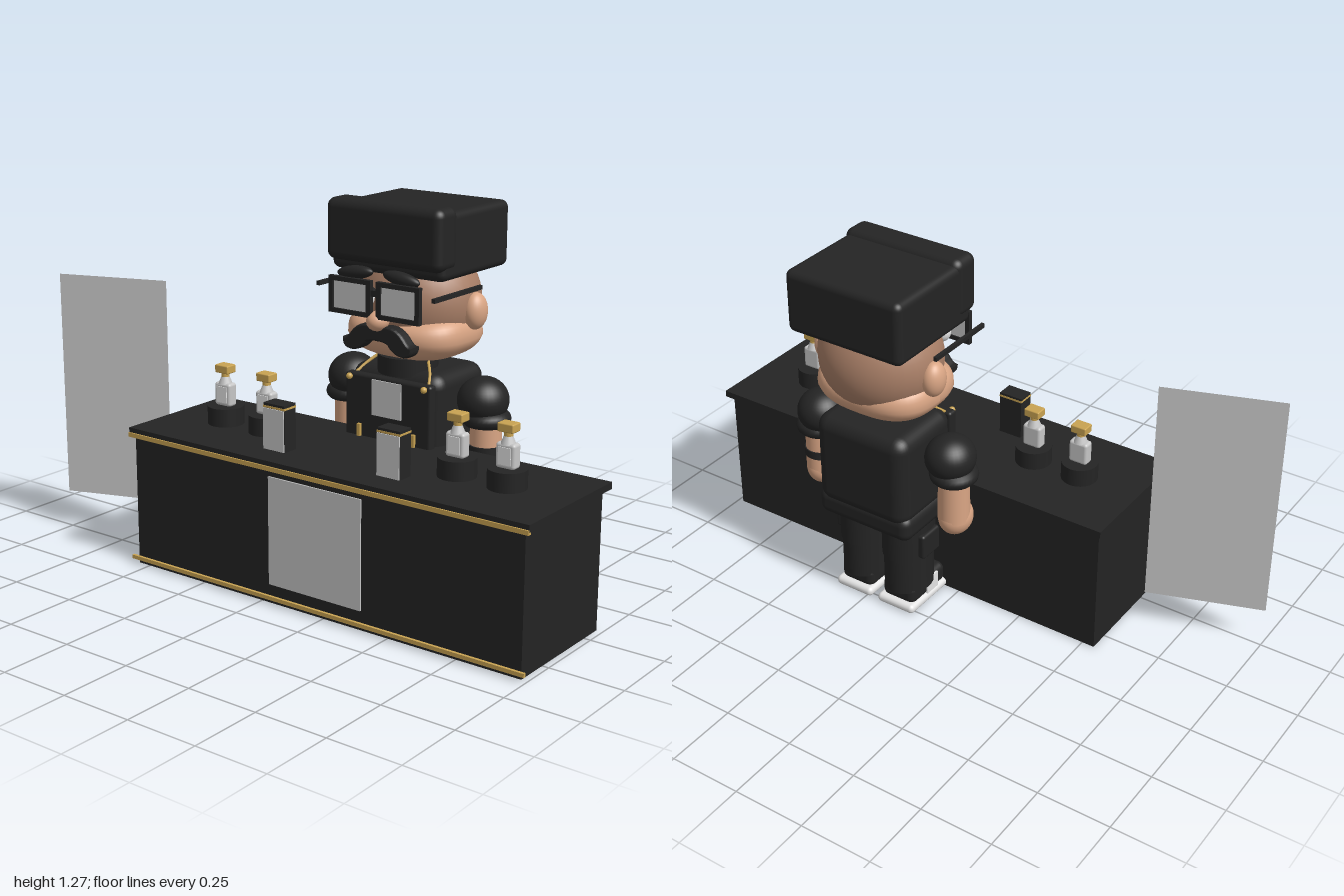
import * as THREE from 'three';
import { RoundedBoxGeometry } from 'three/addons/geometries/RoundedBoxGeometry.js';

const mat = (name, color, side = THREE.FrontSide) => {
  const m = new THREE.MeshStandardMaterial({ color, side });
  m.name = name;
  return m;
};

export function createModel() {
  const black = mat('black', 0x242424);
  const gold = mat('gold', 0xc9a352);
  const skin = mat('skin', 0xd9a584);
  const scalp = mat('shaded skin', 0xaa8068);
  const grey = mat('light grey', 0xc6c6c6, THREE.DoubleSide);
  const white = mat('white', 0xe4e4e4);

  const model = new THREE.Group();
  const add = (parent, name, geo, m, x = 0, y = 0, z = 0) => {
    const mesh = new THREE.Mesh(geo, m);
    mesh.name = name;
    mesh.position.set(x, y, z);
    parent.add(mesh);
    return mesh;
  };
  const group = (name, x = 0, y = 0, z = 0) => {
    const g = new THREE.Group();
    g.name = name;
    g.position.set(x, y, z);
    model.add(g);
    return g;
  };
  // Boxes given by their limits; r rounds the edges
  const box = (p, name, m, x0, x1, y0, y1, z0, z1, r = 0) => {
    const s = [x1 - x0, y1 - y0, z1 - z0];
    const geo = r ? new RoundedBoxGeometry(...s, 4, r) : new THREE.BoxGeometry(...s);
    return add(p, name, geo, m, (x0 + x1) / 2, (y0 + y1) / 2, (z0 + z1) / 2);
  };
  const ball = (p, name, m, x, y, z, rx, ry = rx, rz = rx) =>
    add(p, name, new THREE.SphereGeometry(1, 32, 24).scale(rx, ry, rz), m, x, y, z);
  const tube = (p, name, m, pts, r) =>
    add(p, name, new THREE.TubeGeometry(new THREE.CatmullRomCurve3(
      pts.map(v => new THREE.Vector3(...v))), 12, r, 8), m);

  // Angled standing panel
  const panel = add(model, 'panel', new THREE.PlaneGeometry(0.403, 0.8), grey, -0.81, 0.54, 0.193);
  panel.rotation.y = Math.atan2(0.135, 0.38);

  // Counter
  const counter = group('counter');
  box(counter, 'counterBody', black, -0.545, 0.98, 0.005, 0.465, -0.073, 0.373);
  box(counter, 'counterTop', black, -0.56, 1, 0.467, 0.49, -0.093, 0.388);
  box(counter, 'upperTrim', gold, -0.56, 1, 0.459, 0.474, 0.38, 0.393);
  box(counter, 'lowerTrim', gold, -0.56, 1, 0.023, 0.036, 0.383, 0.393);
  box(counter, 'frontPlate', grey, 0.035, 0.4, 0.07, 0.435, 0.372, 0.378);

  // Bottles on round stands
  for (const x of [-0.34, -0.16, 0.595, 0.775]) {
    const b = group('bottle', x, 0, 0.145);
    add(b, 'stand', new THREE.CylinderGeometry(0.062, 0.062, 0.062, 32), black, 0, 0.521, 0);
    box(b, 'bottleBody', grey, -0.034, 0.034, 0.552, 0.632, -0.02, 0.02, 0.01);
    add(b, 'shoulder', new THREE.CylinderGeometry(0.014, 0.024, 0.025, 16), grey, 0, 0.64, 0);
    box(b, 'bottleLabel', white, -0.022, 0.022, 0.565, 0.62, 0.018, 0.023);
    add(b, 'collar', new THREE.CylinderGeometry(0.014, 0.014, 0.02, 16), gold, 0, 0.658, 0);
    box(b, 'stopper', gold, -0.028, 0.028, 0.666, 0.694, -0.022, 0.022, 0.004);
  }

  // Upright cases with a pale front
  for (const x of [-0.008, 0.442]) {
    const c = group('displayCase', x);
    box(c, 'case', black, -0.043, 0.043, 0.49, 0.645, 0.235, 0.293);
    box(c, 'caseBand', gold, -0.044, 0.044, 0.63, 0.637, 0.234, 0.294);
    box(c, 'caseFront', grey, -0.042, 0.042, 0.492, 0.629, 0.291, 0.297);
  }

  // Figure, centred on its own x = 0
  const man = group('man', 0.215);

  // Head and jaw
  ball(man, 'head', scalp, 0, 0.945, -0.19, 0.212, 0.2, 0.19);
  const jawGeo = new THREE.SphereGeometry(1, 48, 32);
  const jp = jawGeo.attributes.position;
  const soft = v => Math.sign(v) * Math.abs(v) ** 0.72;
  for (let i = 0; i < jp.count; i++) {
    const x = soft(jp.getX(i)), y = soft(jp.getY(i)), z = soft(jp.getZ(i));
    const taper = y < 0 ? 1 + 0.14 * y : 1;
    const lift = y > 0 ? 0.035 * y * x * x : 0;
    jp.setXYZ(i, 0.215 * x * taper, 0.077 * y + lift, 0.178 * z * taper);
  }
  jawGeo.computeVertexNormals();
  add(man, 'jaw', jawGeo, skin, 0, 0.828, -0.17);
  ball(man, 'nose', skin, 0, 0.903, 0.04, 0.036, 0.033, 0.04);

  // Moustache
  const s = new THREE.Shape();
  s.moveTo(0, 0.872);
  s.quadraticCurveTo(0.06, 0.9, 0.1, 0.85);
  s.quadraticCurveTo(0.115, 0.828, 0.13, 0.828);
  s.quadraticCurveTo(0.13, 0.803, 0.1, 0.803);
  s.quadraticCurveTo(0.065, 0.805, 0.045, 0.835);
  s.quadraticCurveTo(0.02, 0.845, 0, 0.843);
  s.quadraticCurveTo(-0.02, 0.845, -0.045, 0.835);
  s.quadraticCurveTo(-0.065, 0.805, -0.1, 0.803);
  s.quadraticCurveTo(-0.13, 0.803, -0.13, 0.828);
  s.quadraticCurveTo(-0.115, 0.828, -0.1, 0.85);
  s.quadraticCurveTo(-0.06, 0.9, 0, 0.872);
  add(man, 'moustache', new THREE.ExtrudeGeometry(s, {
    depth: 0.025, bevelSize: 0.007, bevelThickness: 0.012, bevelSegments: 4, curveSegments: 8,
  }), black, 0, 0, 0.012);

  // Hat
  box(man, 'hat', black, -0.22, 0.22, 1.043, 1.26, -0.387, 0, 0.025);
  box(man, 'hatFlap', black, -0.225, 0.225, 1.075, 1.277, -0.08, 0.028, 0.03);

  // Spectacle frame shape with a lens opening
  const frame = new THREE.Shape();
  const rect = (path, w, h) => {
    path.moveTo(-w, -h); path.lineTo(w, -h); path.lineTo(w, h); path.lineTo(-w, h); path.closePath();
    return path;
  };
  rect(frame, 0.083, 0.06);
  frame.holes.push(rect(new THREE.Path(), 0.066, 0.045));
  const frameGeo = new THREE.ExtrudeGeometry(frame, { depth: 0.017, bevelEnabled: false });
  box(man, 'bridge', black, -0.015, 0.015, 0.985, 1.005, 0.05, 0.065);

  // Torso and apron
  add(man, 'neck', new THREE.CylinderGeometry(0.1, 0.1, 0.06, 32), black, 0, 0.735, -0.13);
  box(man, 'torso', black, -0.18, 0.18, 0.39, 0.726, -0.335, -0.045, 0.05);
  box(man, 'hips', black, -0.185, 0.185, 0.333, 0.43, -0.327, -0.04, 0.035);
  box(man, 'apron', black, -0.17, 0.17, 0.4, 0.7, -0.05, -0.014, 0.01);
  box(man, 'chestTag', grey, -0.058, 0.058, 0.57, 0.69, -0.015, -0.009);

  for (const e of [-1, 1]) {
    // Face sides
    ball(man, 'ear', skin, e * 0.213, 0.922, -0.2, 0.038, 0.061, 0.046);
    ball(man, 'eye', white, e * 0.088, 0.965, 0.005, 0.045, 0.04, 0.032);
    const lid = ball(man, 'eyelid', black, e * 0.088, 0.985, 0.005, 0.047, 0.007, 0.036);
    lid.rotation.x = 0.35;
    add(man, 'spectacleFrame', frameGeo, black, e * 0.094, 0.975, 0.051);
    box(man, 'lens', grey, e * 0.094 - 0.066, e * 0.094 + 0.066, 0.93, 1.02, 0.056, 0.061);
    box(man, 'temple', black, e * 0.225 - 0.006, e * 0.225 + 0.006, 0.993, 1.007, -0.21, 0.06);
    const brow = ball(man, 'eyebrow', black, e * 0.09, 1.05, 0.04, 0.07, 0.022, 0.022);
    brow.rotation.z = -e * 0.12;

    // Apron fittings
    tube(man, 'apronStrap', gold, [[e * 0.148, 0.69, -0.035], [e * 0.125, 0.725, -0.075],
      [e * 0.09, 0.76, -0.115]], 0.005);
    ball(man, 'apronButton', gold, e * 0.148, 0.688, -0.008, 0.011);
    box(man, 'pocketTrim', gold, e * 0.108 - 0.006, e * 0.108 + 0.006, 0.47, 0.532, -0.014, -0.003);

    // Arm
    const ax = e * 0.275;
    ball(man, 'sleeve', black, e * 0.262, 0.638, -0.182, 0.084, 0.078, 0.088);
    const cuff = add(man, 'cuff', new THREE.TorusGeometry(0.056, 0.026, 12, 32), black, ax, 0.58, -0.182);
    cuff.rotation.x = Math.PI / 2;
    add(man, 'forearm', new THREE.CylinderGeometry(0.052, 0.054, 0.17, 32), skin, ax, 0.49, -0.183);
    ball(man, 'hand', skin, ax, 0.408, -0.173, 0.056, 0.064, 0.065);
    ball(man, 'thumb', skin, ax - e * 0.035, 0.405, -0.13, 0.02, 0.035, 0.024);
    if (e > 0) add(man, 'wristband', new THREE.CylinderGeometry(0.058, 0.058, 0.028, 32), black, ax, 0.478, -0.182);

    // Leg
    const lx = e * 0.088;
    add(man, 'thigh', new THREE.CylinderGeometry(1, 1, 0.14, 32).scale(0.086, 1, 0.101), black, lx, 0.28, -0.183);
    add(man, 'shin', new THREE.CylinderGeometry(1, 1, 0.14, 32).scale(0.08, 1, 0.094), black, lx, 0.145, -0.185);
    box(man, 'legPocket', black, e * 0.17 - 0.015, e * 0.17 + 0.015, 0.22, 0.312, -0.232, -0.137, 0.01);
    box(man, 'shoeSole', white, lx - 0.075, lx + 0.075, 0.003, 0.037, -0.277, -0.04, 0.016);
    box(man, 'shoe', black, lx - 0.066, lx + 0.066, 0.025, 0.1, -0.258, -0.06, 0.025);
    const px = lx + e * 0.067;
    box(man, 'shoePatch', white, px - 0.004, px + 0.004, 0.034, 0.092, -0.178, -0.115);
  }
  return model;
}
